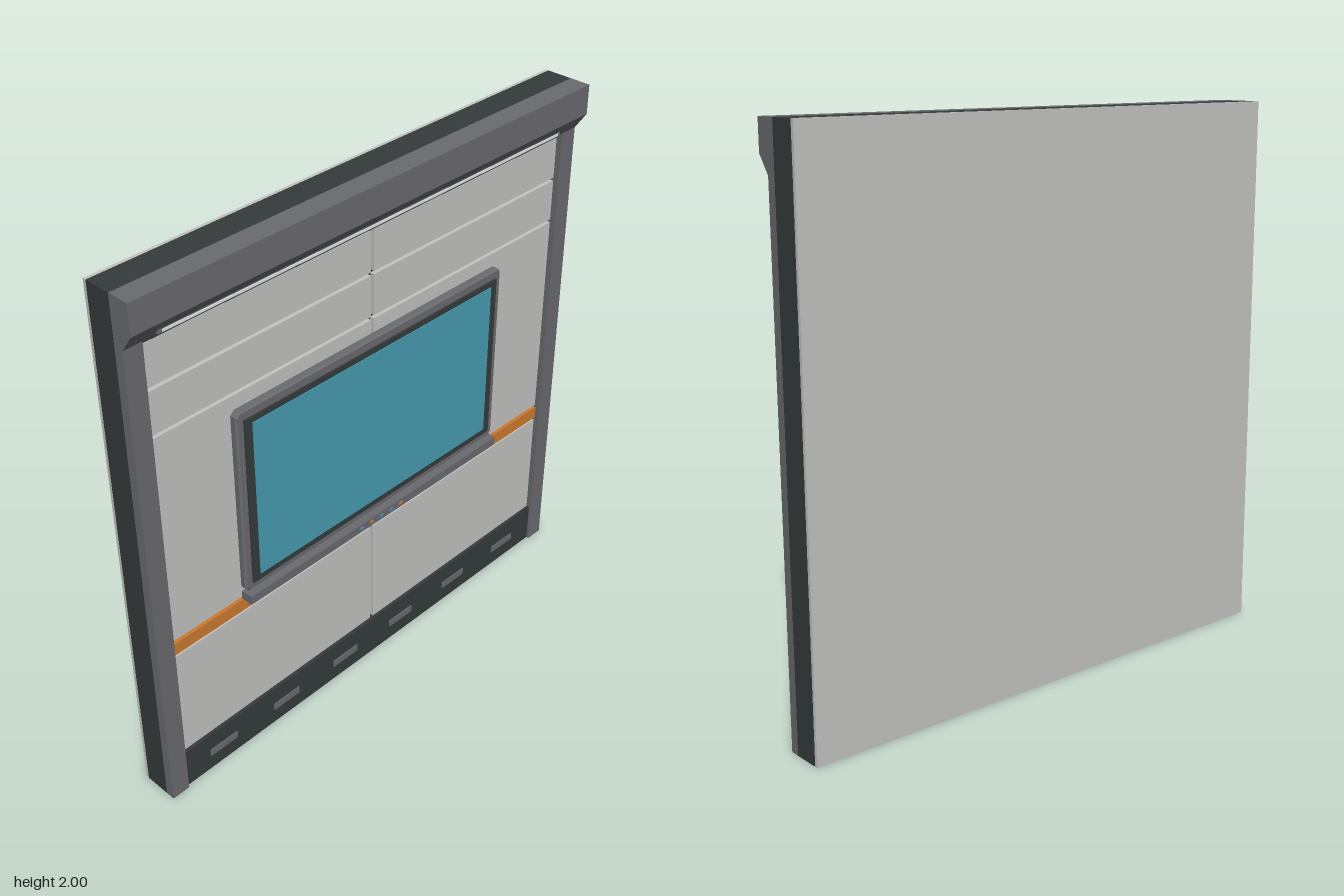
import * as THREE from 'three';

const mat = (name, color) => {
  const m = new THREE.MeshStandardMaterial({ color });
  m.name = name;
  return m;
};

export function createModel() {
  const group = new THREE.Group();
  const grey = mat('steel grey', 0x6a6b6f);
  const dark = mat('charcoal', 0x353b3c);
  const light = mat('pale panel', 0xc3c3c1);
  const orange = mat('orange stripe', 0xcc7a2e);
  const teal = mat('screen teal', 0x479cb2);
  const blue = mat('button blue', 0x4f8fb0);
  const glow = mat('lamp white', 0xe6eaea);

  const add = (name, geo, material) => {
    const mesh = new THREE.Mesh(geo, material);
    mesh.name = name;
    group.add(mesh);
    return mesh;
  };
  // Box given by its minimum and maximum on each axis
  const box = (name, material, x0, x1, y0, y1, z0, z1) => {
    const mesh = add(name, new THREE.BoxGeometry(x1 - x0, y1 - y0, z1 - z0), material);
    mesh.position.set((x0 + x1) / 2, (y0 + y1) / 2, (z0 + z1) / 2);
    return mesh;
  };

  // Wall body and back sheet
  box('wallCore', dark, -1, 1, 0, 2, -0.083, 0.015);
  box('backPanel', light, -1, 1, 0, 2, -0.095, -0.083);

  // Side posts
  for (const s of [-1, 1]) {
    const x = s * 0.965;
    box(s > 0 ? 'leftPost' : 'rightPost', grey, x - 0.035, x + 0.035, 0, 1.84, 0.015, 0.05);
  }

  // Header beam with a sloped underside, profile drawn in (z, y)
  const profile = new THREE.Shape([
    [0.015, 1.83], [0.05, 1.83], [0.095, 1.893], [0.095, 2], [0.015, 2],
  ].map(([z, y]) => new THREE.Vector2(-z, y)));
  const header = new THREE.ExtrudeGeometry(profile, { depth: 2, bevelEnabled: false });
  header.rotateY(Math.PI / 2).translate(-1, 0, 0);
  add('headerBeam', header, grey);

  // Lamp strip on the slope
  const housing = box('lampHousing', dark, -0.89, 0.89, 1.841, 1.859, 0.057, 0.069);
  housing.material = grey;
  box('lampStrip', glow, -0.875, 0.875, 1.845, 1.853, 0.064, 0.072);
  box('headerShadowGap', dark, -0.93, 0.93, 1.812, 1.83, 0.015, 0.035);

  // Wall panels in two columns
  const rows = [[0.167, 0.605], [0.676, 1.48], [1.492, 1.645], [1.657, 1.808]];
  for (const [y0, y1] of rows) {
    for (const x0 of [-0.924, 0.007]) {
      box('wallPanel', light, x0, x0 + 0.917, y0, y1, 0.015, 0.032);
    }
  }
  box('stripe', orange, -0.925, 0.925, 0.617, 0.665, 0.015, 0.036);

  // Plinth with vents
  box('plinth', dark, -0.93, 0.93, 0, 0.16, 0.015, 0.04);
  for (let i = 0; i < 6; i++) {
    const x = (i - 2.5) * 0.302;
    box('vent', grey, x - 0.062, x + 0.062, 0.062, 0.09, 0.039, 0.044);
  }

  // Display: chamfered frame, bezel and screen
  const c = 0.012, w = 0.617, y0 = 0.713, y1 = 1.422;
  const outline = new THREE.Shape([
    [-w + c, y0], [w - c, y0], [w, y0 + c], [w, y1 - c],
    [w - c, y1], [-w + c, y1], [-w, y1 - c], [-w, y0 + c],
  ].map(([x, y]) => new THREE.Vector2(x, y)));
  const frame = new THREE.ExtrudeGeometry(outline, {
    depth: 0.022, bevelEnabled: true, bevelThickness: 0.006, bevelSize: 0.006, bevelSegments: 1,
  });
  frame.translate(0, 0, 0.03);
  add('displayFrame', frame, grey);
  box('displayBezel', dark, -0.595, 0.595, 0.737, 1.395, 0.05, 0.064);
  box('screen', teal, -0.564, 0.564, 0.762, 1.374, 0.06, 0.067);

  // Control ledge with buttons
  box('controlLedge', grey, -0.622, 0.622, 0.667, 0.701, 0.03, 0.078);
  for (let i = 0; i < 5; i++) {
    const x = (i - 2) * 0.05;
    box('button', i % 3 === 1 ? orange : blue, x - 0.008, x + 0.008, 0.68, 0.69, 0.076, 0.081);
  }

  return group;
}
